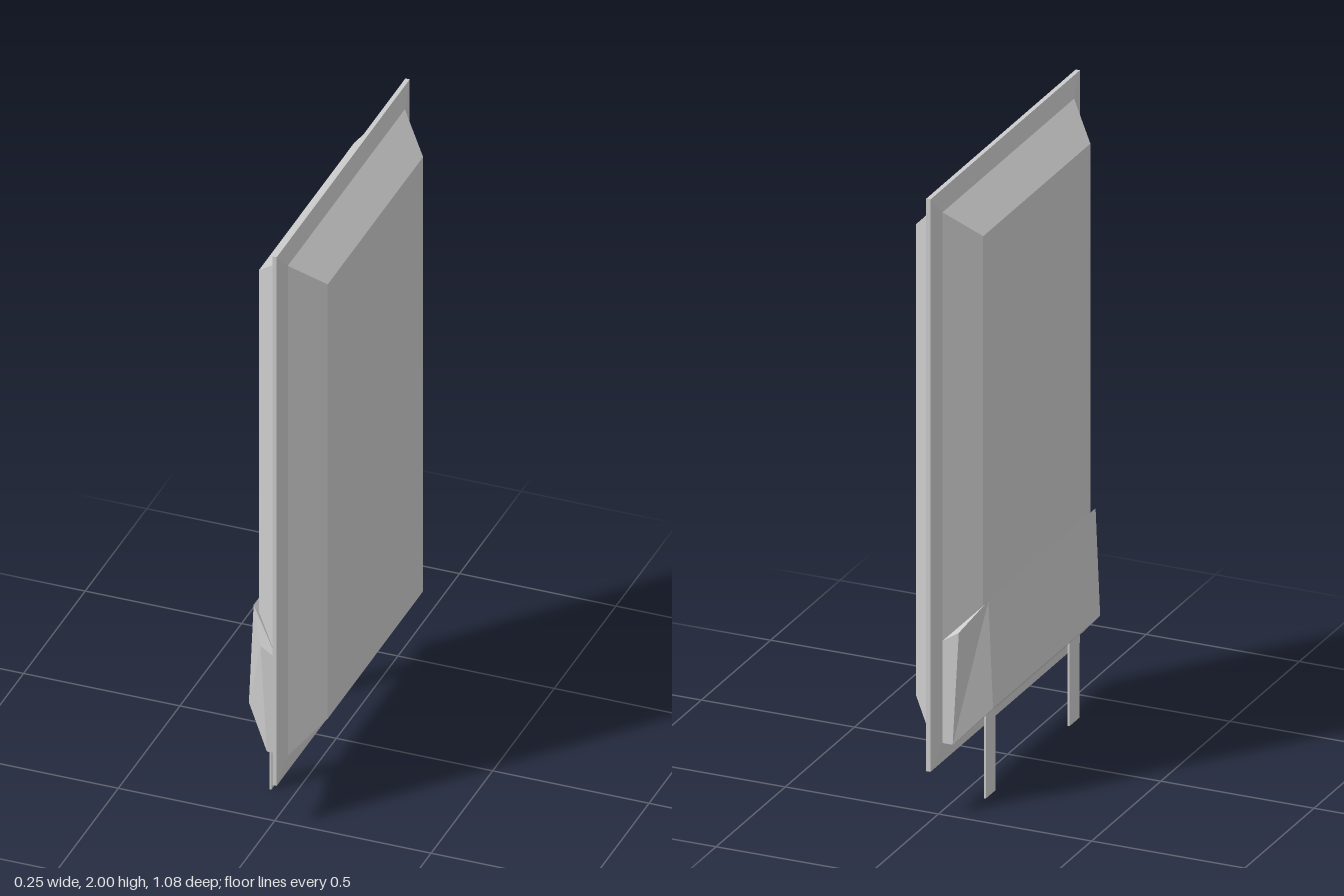
import * as THREE from 'three';

const gray = new THREE.MeshStandardMaterial({ color: 0xcccccc });
gray.name = 'light gray';
gray.side = THREE.DoubleSide;

// Flat-faced mesh from a list of quads, each four [x, y, z] corners
function quadMesh(name, quads, flip = false) {
  const points = [];
  for (const quad of quads) {
    const [a, b, c, d] = flip ? [...quad].reverse() : quad;
    points.push(...a, ...b, ...c, ...a, ...c, ...d);
  }
  const geometry = new THREE.BufferGeometry();
  geometry.setAttribute('position', new THREE.Float32BufferAttribute(points, 3));
  geometry.computeVertexNormals();
  const mesh = new THREE.Mesh(geometry, gray);
  mesh.name = name;
  return mesh;
}

// Rectangular ring in a plane of constant x
const ring = (x, y0, y1, z) => [[x, y0, z], [x, y0, -z], [x, y1, -z], [x, y1, z]];

// Loft through rings, with an optional cap on the last one
function loft(name, rings, flip, cap = true) {
  const quads = [];
  for (let r = 0; r < rings.length - 1; r++) {
    for (let i = 0; i < 4; i++) {
      const j = (i + 1) % 4;
      quads.push([rings[r][i], rings[r][j], rings[r + 1][j], rings[r + 1][i]]);
    }
  }
  if (cap) quads.push(rings[rings.length - 1]);
  return quadMesh(name, quads, flip);
}

export function createModel() {
  const model = new THREE.Group();
  model.name = 'bevelledPanel';

  // Thin tapered rim around the edge
  model.add(loft('rim', [
    ring(-0.002, 0.22, 1.935, 0.475),
    ring(0.008, 0.15, 2, 0.54),
    ring(0.022, 0.15, 2, 0.54),
    ring(0.032, 0.22, 1.935, 0.475),
  ], false, false));

  // Bevelled shells on both sides
  model.add(loft('leftShell', [
    ring(0.032, 0.22, 1.935, 0.475), ring(0.125, 0.32, 1.84, 0.387)], false));
  model.add(loft('rightShell', [
    ring(-0.002, 0.22, 1.935, 0.475), ring(-0.095, 0.32, 1.84, 0.387)], true));

  // Faceted housing low on the right shell
  const corners = (s) => ({
    faceTop: [-0.112, 0.665, 0.387 * s],
    faceBottom: [-0.127, 0.32, 0.387 * s],
    sideTop: [-0.055, 0.585, 0.475 * s],
    sideBottom: [-0.035, 0.22, 0.475 * s],
    rimTop: [-0.002, 0.55, 0.475 * s],
    rimBottom: [-0.002, 0.22, 0.475 * s],
    shellTop: [-0.095, 0.645, 0.387 * s],
  });
  const p = corners(1), n = corners(-1);
  const housing = new THREE.Group();
  housing.name = 'housing';
  housing.add(quadMesh('housingFace', [
    [n.faceBottom, p.faceBottom, p.faceTop, n.faceTop],
    [n.sideBottom, p.sideBottom, p.faceBottom, n.faceBottom],
    [n.rimBottom, p.rimBottom, p.sideBottom, n.sideBottom],
    [n.faceTop, p.faceTop, p.shellTop, n.shellTop],
  ]));
  for (const [c, flip] of [[p, false], [n, true]]) {
    housing.add(quadMesh('housingSide', [
      [c.faceBottom, c.sideBottom, c.sideTop, c.faceTop],
      [c.sideBottom, c.rimBottom, c.rimTop, c.sideTop],
      [c.faceTop, c.sideTop, c.rimTop, c.shellTop],
    ], flip));
  }
  model.add(housing);

  // Two flat legs
  for (const z of [0.305, -0.3]) {
    const leg = new THREE.Mesh(new THREE.BoxGeometry(0.006, 0.275, 0.07), gray);
    leg.name = 'leg';
    leg.position.set(-0.077, 0.1375, z);
    model.add(leg);
  }
  return model;
}
